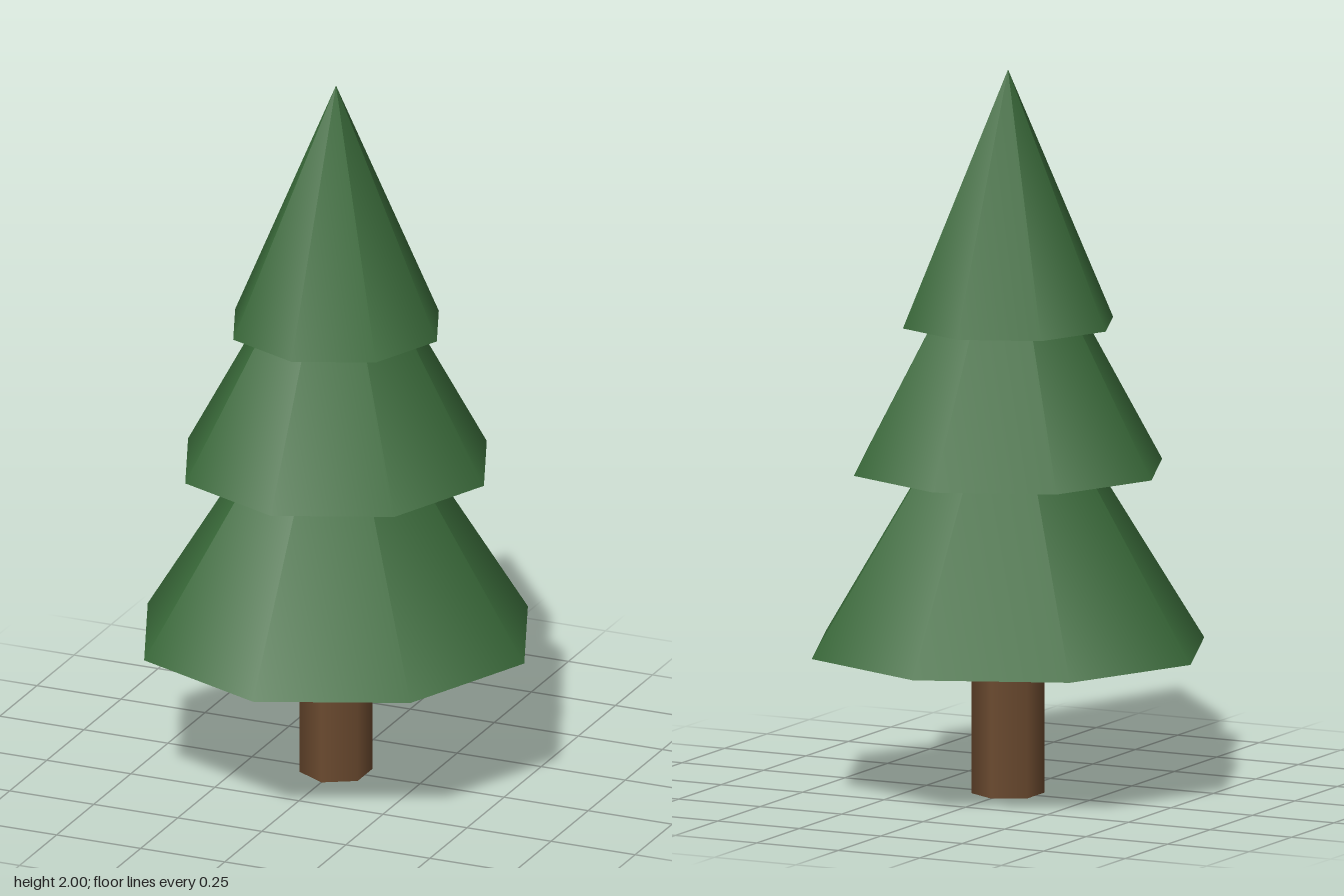
import * as THREE from 'three';

export function createModel() {
  const tree = new THREE.Group();
  tree.name = 'pineTree';

  const needles = new THREE.MeshStandardMaterial({ color: 0x3a6b3a });
  needles.name = 'needle green';
  const bark = new THREE.MeshStandardMaterial({ color: 0x6b4a2f });
  bark.name = 'bark brown';

  const add = (name, geometry, material, y) => {
    const mesh = new THREE.Mesh(geometry, material);
    mesh.name = name;
    mesh.position.y = y;
    tree.add(mesh);
  };

  // Six-sided trunk
  add('trunk', new THREE.CylinderGeometry(0.1, 0.1, 0.4, 6), bark, 0.2);

  // Overlapping eight-sided foliage tiers: name, radius, height, base level
  const tiers = [
    ['lowerFoliage', 0.56, 0.9, 0.4],
    ['middleFoliage', 0.44, 0.8, 0.9],
    ['upperFoliage', 0.3, 0.7, 1.3],
  ];
  for (const [name, radius, height, base] of tiers) {
    add(name, new THREE.ConeGeometry(radius, height, 8), needles, base + height / 2);
  }

  return tree;
}
